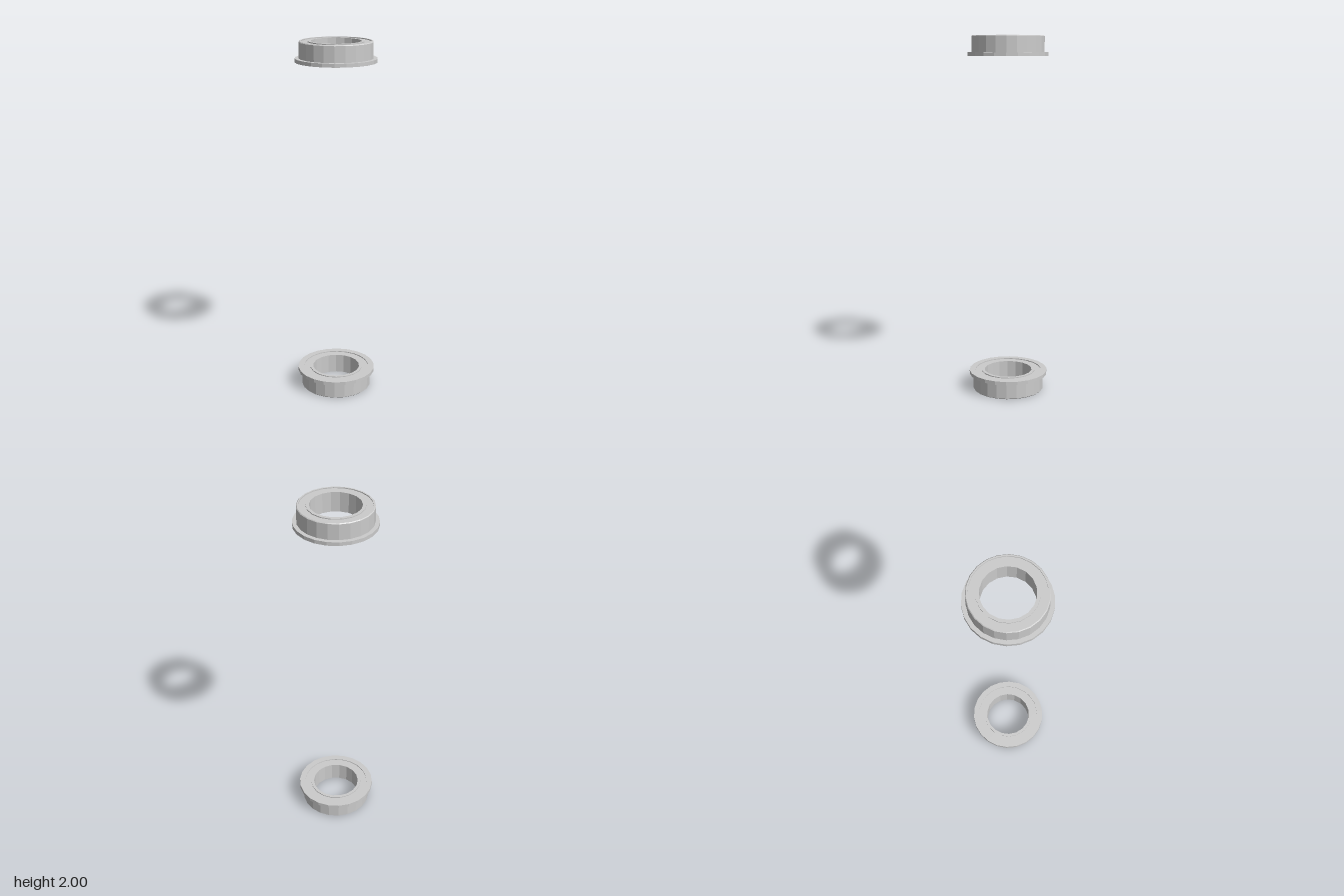
import * as THREE from 'three';

const material = new THREE.MeshStandardMaterial({ color: 0xcccccc, flatShading: true });

// Closed ring turned from a counterclockwise (radius, height) profile
function ring(name, profile, segments, start = 0) {
  const points = [...profile, profile[0]].map(([r, y]) => new THREE.Vector2(r, y));
  const mesh = new THREE.Mesh(new THREE.LatheGeometry(points, segments, start), material);
  mesh.name = name;
  return mesh;
}

// One flanged ball bearing: base at y = 0, flange at the top
function flangedBearing(name) {
  const height = 0.11, flangeBottom = 0.09, recess = 0.005;
  const group = new THREE.Group();
  group.name = name;
  group.add(
    // outer race with chamfered base and flange
    ring('outerRace', [
      [0.188, 0], [0.196, 0], [0.2, 0.004], [0.2, flangeBottom],
      [0.222, flangeBottom], [0.222, height], [0.188, height],
    ], 22),
    // recessed cover between the races
    ring('shield', [
      [0.148, recess], [0.19, recess], [0.19, height - recess], [0.148, height - recess],
    ], 22),
    // inner race around the bore
    ring('innerRace', [
      [0.135, 0], [0.152, 0], [0.152, height], [0.135, height],
    ], 18, Math.PI / 2),
  );
  return group;
}

export function createModel() {
  const model = new THREE.Group();
  model.name = 'bearingPair';
  const lower = flangedBearing('lowerBearing');
  // the upper bearing is turned over so that the flanges face each other
  const upper = flangedBearing('upperBearing');
  upper.rotation.x = Math.PI;
  upper.position.y = 2;
  model.add(lower, upper);
  return model;
}
